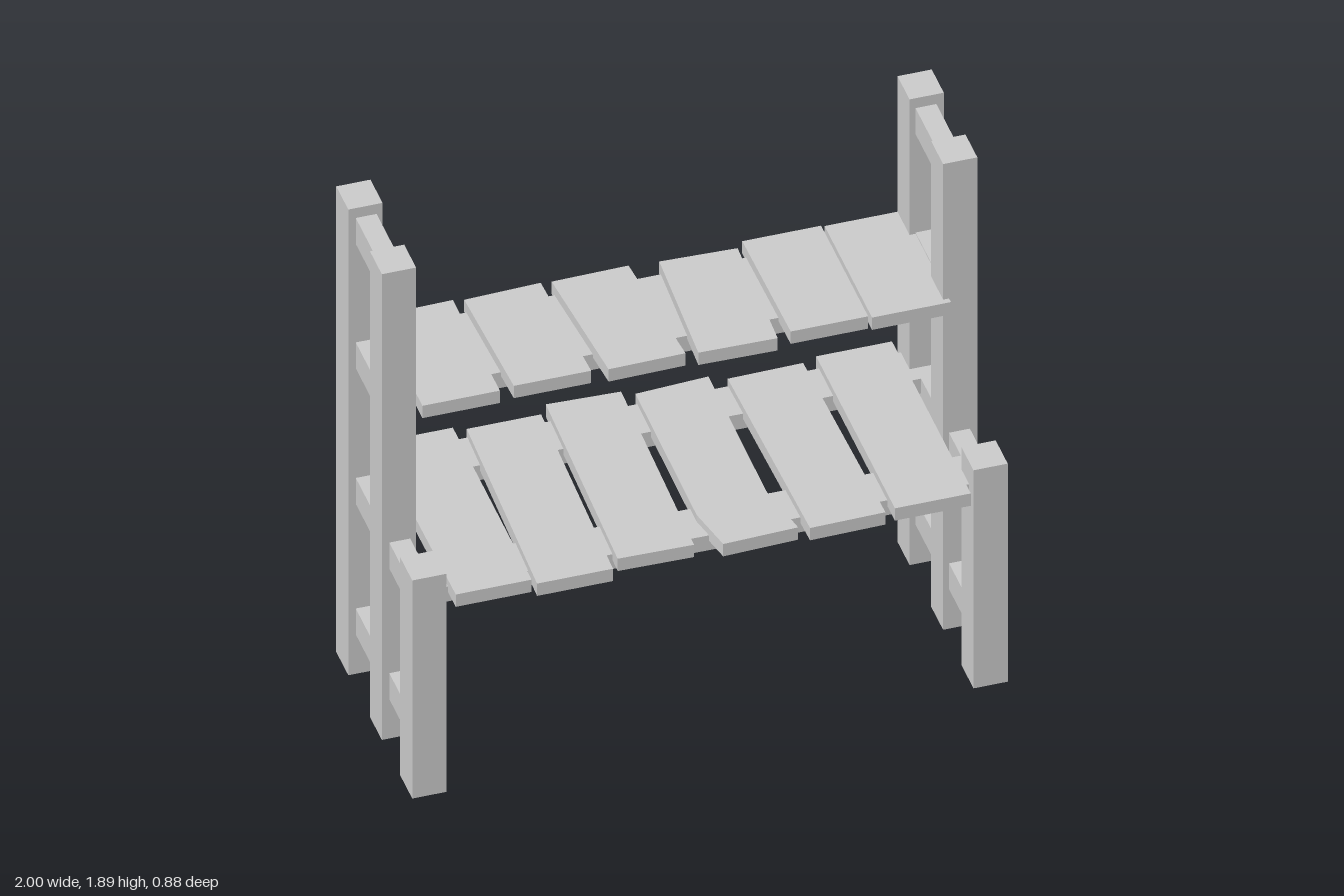
import * as THREE from 'three';

const material = new THREE.MeshStandardMaterial({ color: 0xcccccc, flatShading: true });

// Box given by its minimum and maximum on each axis
function box(parent, name, [x0, x1], [y0, y1], [z0, z1]) {
  const mesh = new THREE.Mesh(new THREE.BoxGeometry(x1 - x0, y1 - y0, z1 - z0), material);
  mesh.position.set((x0 + x1) / 2, (y0 + y1) / 2, (z0 + z1) / 2);
  mesh.name = name;
  parent.add(mesh);
}

// Uneven plank: outline of [x, z] corners, raised from y0 to y1
function plank(parent, name, outline, y0, y1) {
  const shape = new THREE.Shape(outline.map(([x, z]) => new THREE.Vector2(x, -z)));
  const geometry = new THREE.ExtrudeGeometry(shape, { depth: y1 - y0, bevelEnabled: false });
  geometry.rotateX(-Math.PI / 2).translate(0, y0, 0);
  const mesh = new THREE.Mesh(geometry, material);
  mesh.name = name;
  parent.add(mesh);
}

// Plank outlines, back edge first, from right to left
const upperPlanks = [
  [[-0.87, -0.415], [-0.61, -0.42], [-0.61, 0.075], [-0.87, 0.075]],
  [[-0.575, -0.41], [-0.315, -0.42], [-0.3, 0.065], [-0.56, 0.065]],
  [[-0.28, -0.415], [-0.02, -0.42], [0.015, 0.07], [-0.245, 0.075]],
  [[0.08, -0.41], [0.34, -0.4], [0.32, 0.085], [0.055, 0.08]],
  [[0.365, -0.43], [0.63, -0.43], [0.63, 0.065], [0.37, 0.065]],
  [[0.64, -0.425], [0.905, -0.425], [0.905, 0.075], [0.64, 0.075]],
];
const lowerPlanks = [
  [[-0.87, -0.42], [-0.61, -0.42], [-0.61, 0.41], [-0.865, 0.41]],
  [[-0.57, -0.4], [-0.32, -0.4], [-0.345, 0.435], [-0.6, 0.435]],
  [[-0.29, -0.445], [-0.04, -0.435], [-0.06, 0.395], [-0.315, 0.39]],
  [[0, -0.41], [0.25, -0.425], [0.245, 0.2], [0.285, 0.41], [0.03, 0.42], [-0.005, 0.25]],
  [[0.305, -0.395], [0.56, -0.4], [0.575, 0.42], [0.32, 0.425]],
  [[0.61, -0.42], [0.865, -0.42], [0.865, 0.41], [0.61, 0.41]],
];

export function createModel() {
  const model = new THREE.Group();
  model.name = 'plankShelf';

  // Mirrored end frames: three posts joined by rails
  for (const side of [-1, 1]) {
    const frame = new THREE.Group();
    frame.name = side > 0 ? 'leftFrame' : 'rightFrame';
    const span = (a, b) => (side > 0 ? [a, b] : [-b, -a]);
    const postX = span(0.885, 1), railX = span(0.905, 0.975);
    box(frame, 'frontPost', postX, [0, 0.885], [0.248, 0.375]);
    box(frame, 'middlePost', postX, [0, 1.89], [-0.07, 0.055]);
    box(frame, 'backPost', postX, [0, 1.89], [-0.425, -0.298]);
    for (const y of [0.16, 0.69]) box(frame, 'frontRail', railX, [y, y + 0.105], [0.05, 0.25]);
    for (const y of [0.16, 0.69, 1.24, 1.745]) box(frame, 'backRail', railX, [y, y + 0.105], [-0.3, -0.065]);
    model.add(frame);
  }

  // Long boards carrying the planks
  const boardX = [-0.905, 0.905];
  box(model, 'upperSupport', boardX, [1.24, 1.303], [-0.39, -0.06]);
  box(model, 'lowerBackSupport', boardX, [0.735, 0.795], [-0.39, -0.24]);
  box(model, 'lowerFrontSupport', boardX, [0.735, 0.795], [0.18, 0.33]);

  // Shelf planks
  const shelves = [['upperShelf', upperPlanks, 1.29, 1.34], ['lowerShelf', lowerPlanks, 0.772, 0.822]];
  for (const [name, outlines, y0, y1] of shelves) {
    const shelf = new THREE.Group();
    shelf.name = name;
    outlines.forEach((outline, i) => plank(shelf, `plank${i + 1}`, outline, y0, y1));
    model.add(shelf);
  }
  return model;
}
